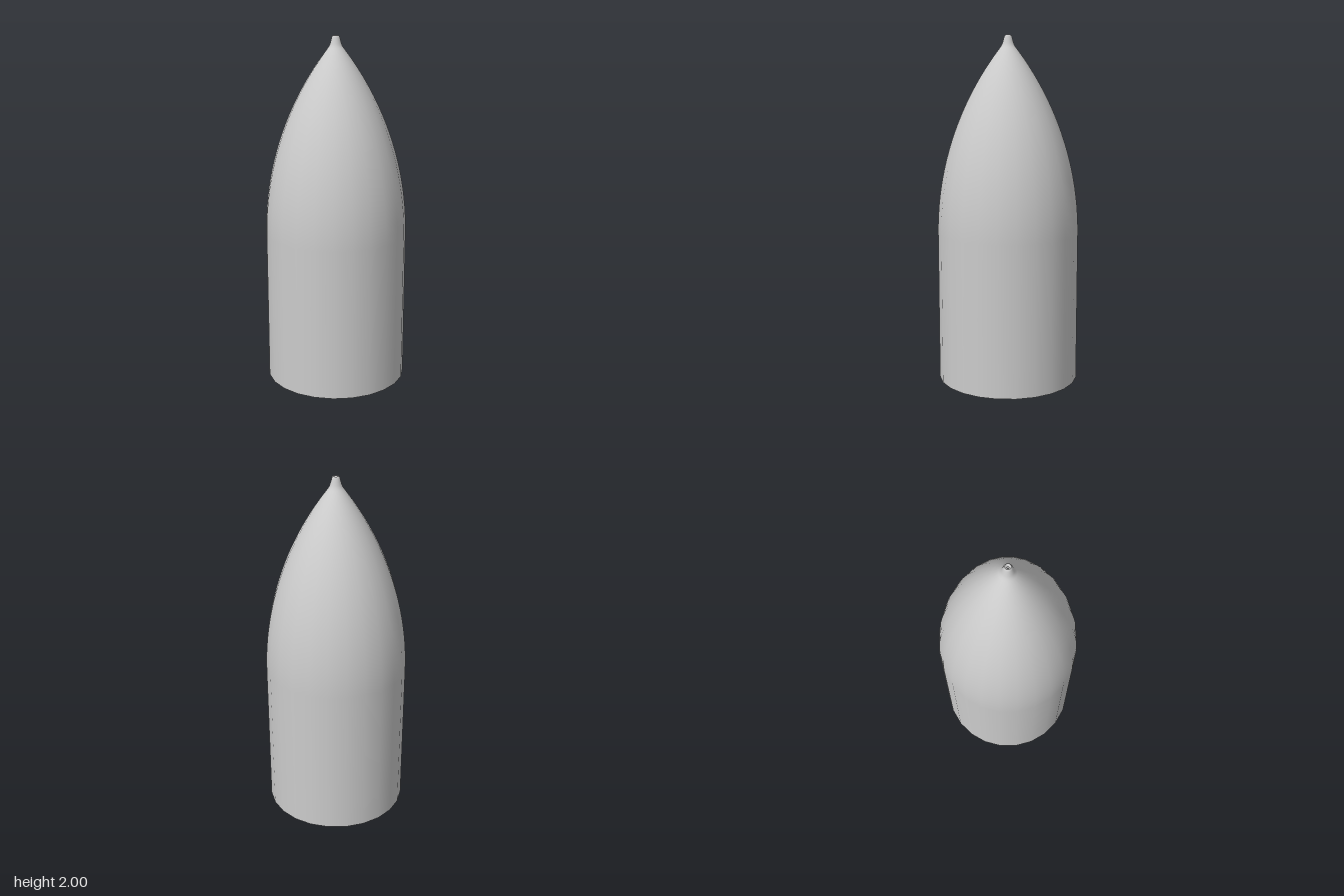
import * as THREE from 'three';

const SIDES = 24;

function lathe(name, points, material) {
  const profile = points.map(([r, y]) => new THREE.Vector2(r, y));
  const mesh = new THREE.Mesh(new THREE.LatheGeometry(profile, SIDES), material);
  mesh.name = name;
  return mesh;
}

export function createModel() {
  const group = new THREE.Group();
  group.name = 'hollowOgiveShell';
  // open, thin-walled surfaces
  const material = new THREE.MeshStandardMaterial({ color: 0xcccccc, side: THREE.DoubleSide });

  // straight body flowing into a circular-arc nose
  const radius = 0.408, shoulder = 0.87, noseTop = 1.93, arcRadius = 1.73, steps = 20;
  const shell = [[radius, 0], [radius, 0.45]];
  for (let i = 0; i <= steps; i++) {
    const h = (noseTop - shoulder) * i / steps;
    shell.push([radius - arcRadius + Math.sqrt(arcRadius ** 2 - h ** 2), shoulder + h]);
  }
  // concave flare up to the little nipple
  shell.push([0.037, 1.942], [0.032, 1.955], [0.027, 1.972], [0.023, 1.988], [0.02, 1.996], [0.016, 2]);
  group.add(lathe('shell', shell, material));

  // rim turned inwards around the small vent hole
  group.add(lathe('tipVent', [[0.016, 2], [0.01, 1.998], [0.005, 1.99]], material));

  return group;
}
